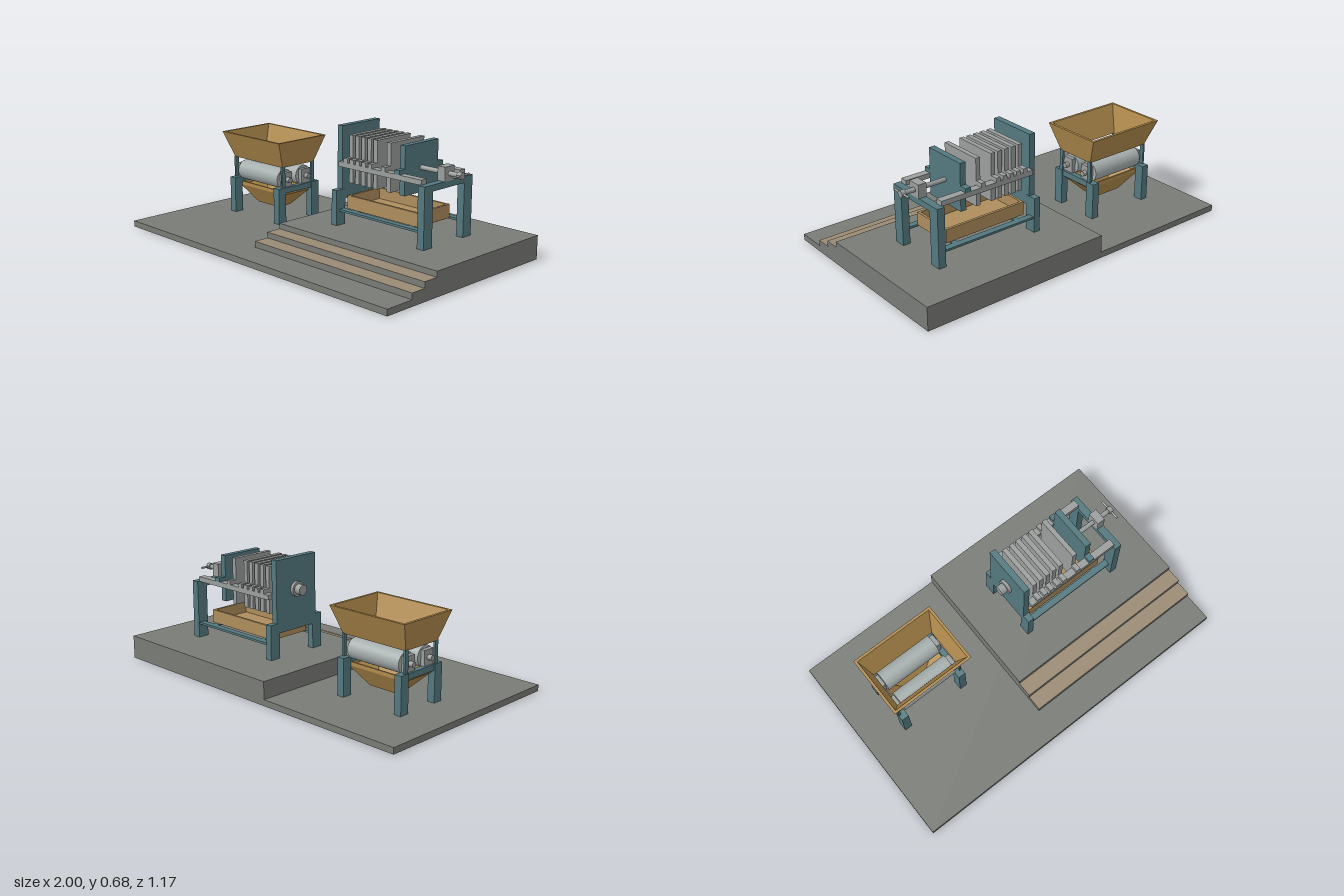
import * as THREE from 'three';

const mat = (name, color) => Object.assign(new THREE.MeshStandardMaterial({ color }), { name });

export function createModel() {
  const M = {
    concrete: mat('concrete', 0x797b77),
    tread: mat('step tread', 0x9a8a74),
    paint: mat('blue green paint', 0x54797f),
    hopperWood: mat('hopper wood', 0xb08a4c),
    trayWood: mat('tray wood', 0xae8d5c),
    steel: mat('roller steel', 0xa5adad),
    iron: mat('plate iron', 0x9a9e9c),
  };
  const root = new THREE.Group();
  const group = (name) => {
    const g = new THREE.Group();
    g.name = name;
    root.add(g);
    return g;
  };
  const add = (parent, name, geo, material) => {
    const m = new THREE.Mesh(geo, material);
    m.name = name;
    parent.add(m);
    return m;
  };
  // Box given by its limits on each axis
  const box = (parent, name, material, x0, x1, y0, y1, z0, z1) => {
    const m = add(parent, name, new THREE.BoxGeometry(x1 - x0, y1 - y0, z1 - z0), material);
    m.position.set((x0 + x1) / 2, (y0 + y1) / 2, (z0 + z1) / 2);
    return m;
  };
  // Cylinder lying along x
  const rod = (parent, name, material, x0, x1, y, z, r, sides = 24) => {
    const geo = new THREE.CylinderGeometry(r, r, x1 - x0, sides).rotateZ(Math.PI / 2);
    const m = add(parent, name, geo, material);
    m.position.set((x0 + x1) / 2, y, z);
    return m;
  };
  // Closed shell through rectangular rings [half x, y, half z]
  const shell = (rings) => {
    const corners = ([hx, y, hz]) => [[-hx, y, hz], [hx, y, hz], [hx, y, -hz], [-hx, y, -hz]];
    const pos = [];
    rings.forEach((ring, k) => {
      const a = corners(ring), b = corners(rings[(k + 1) % rings.length]);
      for (let i = 0; i < 4; i++) {
        const j = (i + 1) % 4;
        pos.push(...a[i], ...a[j], ...b[j], ...a[i], ...b[j], ...b[i]);
      }
    });
    const geo = new THREE.BufferGeometry();
    geo.setAttribute('position', new THREE.Float32BufferAttribute(pos, 3));
    geo.computeVertexNormals();
    return geo;
  };

  // Floor, raised platform and steps
  const floor = group('floor');
  box(floor, 'baseSlab', M.concrete, -1, 1, 0, 0.035, -0.59, 0.585);
  box(floor, 'platform', M.concrete, -0.12, 1, 0.035, 0.133, -0.59, 0.235);
  const stepMats = [0, 1, 2, 3, 4, 5].map((i) => (i === 2 ? M.tread : M.concrete));
  box(floor, 'upperStep', stepMats, -0.12, 1, 0.035, 0.102, 0.235, 0.324);
  box(floor, 'lowerStep', stepMats, -0.12, 1, 0.035, 0.069, 0.324, 0.413);

  // Crusher: hopper above two rollers, chute below
  const crusher = group('crusher');
  crusher.position.set(-0.56, 0, -0.122);
  for (const sx of [-1, 1]) {
    const side = (name, m, a, b, y0, y1, z0, z1) =>
      box(crusher, name, m, Math.min(sx * a, sx * b), Math.max(sx * a, sx * b), y0, y1, z0, z1);
    for (const sz of [-1, 1]) {
      side('crusherLeg', M.paint, 0.172, 0.216, 0.035, 0.245, sz * 0.13 - 0.028, sz * 0.13 + 0.028);
      side('hopperPost', M.paint, 0.2, 0.212, 0.245, 0.37, sz * 0.115 - 0.012, sz * 0.115 + 0.012);
      side('bearing', M.iron, 0.174, 0.198, 0.243, 0.328, sz * 0.073 - 0.035, sz * 0.073 + 0.035);
    }
    side('sideBeam', M.paint, 0.178, 0.21, 0.21, 0.243, -0.11, 0.11);
  }
  for (const sz of [-1, 1]) {
    rod(crusher, 'roller', M.steel, -0.172, 0.172, 0.286, sz * 0.073, 0.058, 32);
    rod(crusher, 'rollerShaft', M.iron, -0.224, 0.224, 0.286, sz * 0.073, 0.015);
  }
  add(crusher, 'hopper', shell([
    [0.21, 0.365, 0.122], [0.25, 0.521, 0.184], [0.235, 0.521, 0.169], [0.195, 0.365, 0.107],
  ]), M.hopperWood);
  add(crusher, 'chute', shell([
    [0.0875, 0.095, 0.048], [0.19, 0.195, 0.103], [0.19, 0.216, 0.103],
    [0.18, 0.216, 0.093], [0.18, 0.197, 0.093], [0.078, 0.095, 0.038],
  ]), M.hopperWood);

  // Filter press frame
  const press = group('filterPress');
  press.position.z = -0.147;
  for (const s of [-1, 1]) {
    const z = s * 0.158;
    box(press, 'tallEndLeg', M.paint, 0.095, 0.133, 0.133, 0.33, z - 0.033, z + 0.033);
    box(press, 'screwEndLeg', M.paint, 0.706, 0.75, 0.133, 0.464, z - 0.033, z + 0.033);
    box(press, 'lowerRail', M.paint, 0.13, 0.71, 0.21, 0.222, z - 0.025, z + 0.012);
    box(press, 'sideRail', M.iron, 0.13, 0.712, 0.462, 0.49, s * 0.153 - 0.021, s * 0.153 + 0.021);
  }
  box(press, 'tallEndBeam', M.paint, 0.095, 0.131, 0.275, 0.33, -0.126, 0.126);
  box(press, 'screwEndBeam', M.paint, 0.706, 0.75, 0.43, 0.464, -0.126, 0.126);
  box(press, 'fixedPlate', M.paint, 0.095, 0.131, 0.33, 0.68, -0.146, 0.146);
  for (const x of [0.2, 0.6]) box(press, 'trayBearer', M.paint, x, x + 0.03, 0.21, 0.22, -0.15, 0.15);

  // Plates hung on the side rails by their ears
  const hungPlate = (name, m, x, w) => {
    box(press, name, m, x, x + w, 0.37, 0.635, -0.131, 0.131);
    for (const s of [-1, 1]) box(press, name + 'Ear', m, x, x + w, 0.488, 0.513, s * 0.152 - 0.022, s * 0.152 + 0.022);
  };
  for (const x of [0.168, 0.213, 0.257, 0.301, 0.345, 0.44]) hungPlate('filterPlate', M.iron, x, 0.027);
  hungPlate('movingPlate', M.paint, 0.531, 0.034);

  // Juice tray
  const tray = add(press, 'juiceTray', shell([
    [0.251, 0.222, 0.128], [0.251, 0.297, 0.128], [0.237, 0.297, 0.114], [0.237, 0.222, 0.114],
  ]), M.trayWood);
  tray.position.x = 0.404;
  box(press, 'trayFloor', M.trayWood, 0.16, 0.648, 0.222, 0.235, -0.12, 0.12);

  // Clamping screw, handle and outlet
  box(press, 'screwBlock', M.iron, 0.704, 0.752, 0.463, 0.54, -0.038, 0.038);
  rod(press, 'screw', M.iron, 0.56, 0.815, 0.502, 0, 0.013);
  rod(press, 'screwHub', M.iron, 0.81, 0.836, 0.502, 0, 0.019);
  const handle = add(press, 'screwHandle', new THREE.CylinderGeometry(0.006, 0.006, 0.125, 12).rotateX(Math.PI / 2), M.iron);
  handle.position.set(0.824, 0.502, 0);
  rod(press, 'outletFlange', M.iron, 0.077, 0.097, 0.502, 0, 0.042);
  rod(press, 'outletPipe', M.iron, 0.04, 0.08, 0.502, 0, 0.029);

  return root;
}
